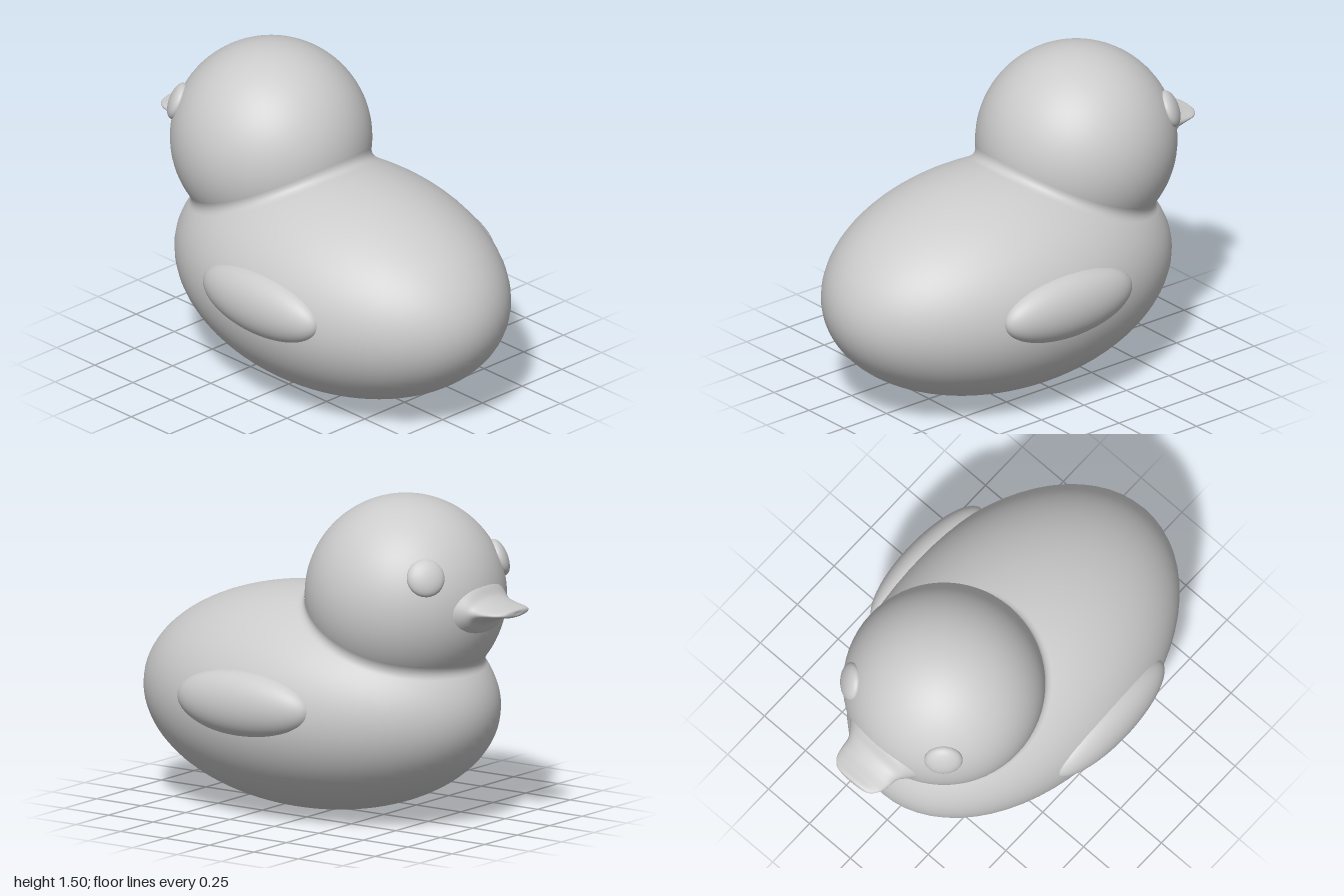
import * as THREE from 'three';
import { ParametricGeometry } from 'three/addons/geometries/ParametricGeometry.js';

const material = new THREE.MeshStandardMaterial({ color: 0xcccccc, side: THREE.DoubleSide });

const bodyCenter = new THREE.Vector3(-0.005, 0.515, 0.1);
const bodyRadii = new THREE.Vector3(0.615, 0.515, 0.9);
const headCenter = new THREE.Vector3(-0.005, 1.04, -0.37);
const headRadius = 0.46;

function addMesh(parent, name, geometry) {
  const mesh = new THREE.Mesh(geometry, material);
  mesh.name = name;
  parent.add(mesh);
  return mesh;
}

function ellipsoid(parent, name, center, radii) {
  const mesh = addMesh(parent, name, new THREE.SphereGeometry(1, 64, 48));
  mesh.position.copy(center);
  mesh.scale.copy(radii);
  return mesh;
}

// 1 on the body surface, below 1 inside it
const bodyLevel = (p) => p.clone().sub(bodyCenter).divide(bodyRadii).length();

const toBody = (p) => p.clone().sub(bodyCenter).divideScalar(bodyLevel(p)).add(bodyCenter);

// Point on the head at an azimuth and a latitude
function onHead(azimuth, latitude) {
  const c = Math.cos(latitude);
  return new THREE.Vector3(c * Math.sin(azimuth), Math.sin(latitude), c * Math.cos(azimuth))
    .multiplyScalar(headRadius).add(headCenter);
}

// Small fillet that follows the crease between head and body
function neckGeometry() {
  const width = 0.045;
  return new ParametricGeometry((u, v, target) => {
    const azimuth = u * Math.PI * 2;
    let low = -Math.PI / 2, high = Math.PI / 4;
    for (let i = 0; i < 30; i++) {
      const mid = (low + high) / 2;
      if (bodyLevel(onHead(azimuth, mid)) < 1) low = mid;
      else high = mid;
    }
    const crease = onHead(azimuth, low);
    const outward = crease.clone().sub(headCenter).normalize();
    const upper = onHead(azimuth, low + width / headRadius);
    const lower = toBody(crease.clone().addScaledVector(outward, width));
    target.copy(new THREE.QuadraticBezierCurve3(lower, crease, upper).getPoint(v));
  }, 96, 8);
}

// Flat bill with a flared root; each station is half width, half height, z
function beakGeometry() {
  const stations = [
    [0.24, 0.16, -0.74], [0.175, 0.11, -0.815], [0.15, 0.06, -0.855], [0.142, 0.035, -0.905],
    [0.128, 0.024, -0.955], [0.095, 0.019, -0.99], [0.05, 0.012, -1], [0, 0, -1],
  ].map((s) => new THREE.Vector3(...s));
  const profile = new THREE.CatmullRomCurve3(stations);
  return new ParametricGeometry((u, v, target) => {
    const s = profile.getPoint(v);
    const a = -u * Math.PI * 2;
    target.set(headCenter.x + s.x * Math.cos(a), 1.03 + s.y * Math.sin(a), s.z);
  }, 48, 42);
}

export function createModel() {
  const group = new THREE.Group();
  group.name = 'duck';

  ellipsoid(group, 'body', bodyCenter, bodyRadii);
  ellipsoid(group, 'head', headCenter, new THREE.Vector3().setScalar(headRadius));
  addMesh(group, 'neckFillet', neckGeometry());
  addMesh(group, 'beak', beakGeometry());

  for (const [side, sign] of [['left', 1], ['right', -1]]) {
    // Wing: long shallow bulge on the flank
    ellipsoid(group, side + 'Wing', new THREE.Vector3(sign * 0.55, 0.562, 0.135),
      new THREE.Vector3(0.117, 0.155, 0.365));

    // Eye: flattened ball lying on the head surface
    const direction = new THREE.Vector3(sign * 0.28, 0.16, -0.315).normalize();
    const eye = ellipsoid(group, side + 'Eye',
      headCenter.clone().addScaledVector(direction, headRadius - 0.005),
      new THREE.Vector3(0.087, 0.087, 0.04));
    eye.quaternion.setFromUnitVectors(new THREE.Vector3(0, 0, 1), direction);
  }
  return group;
}
